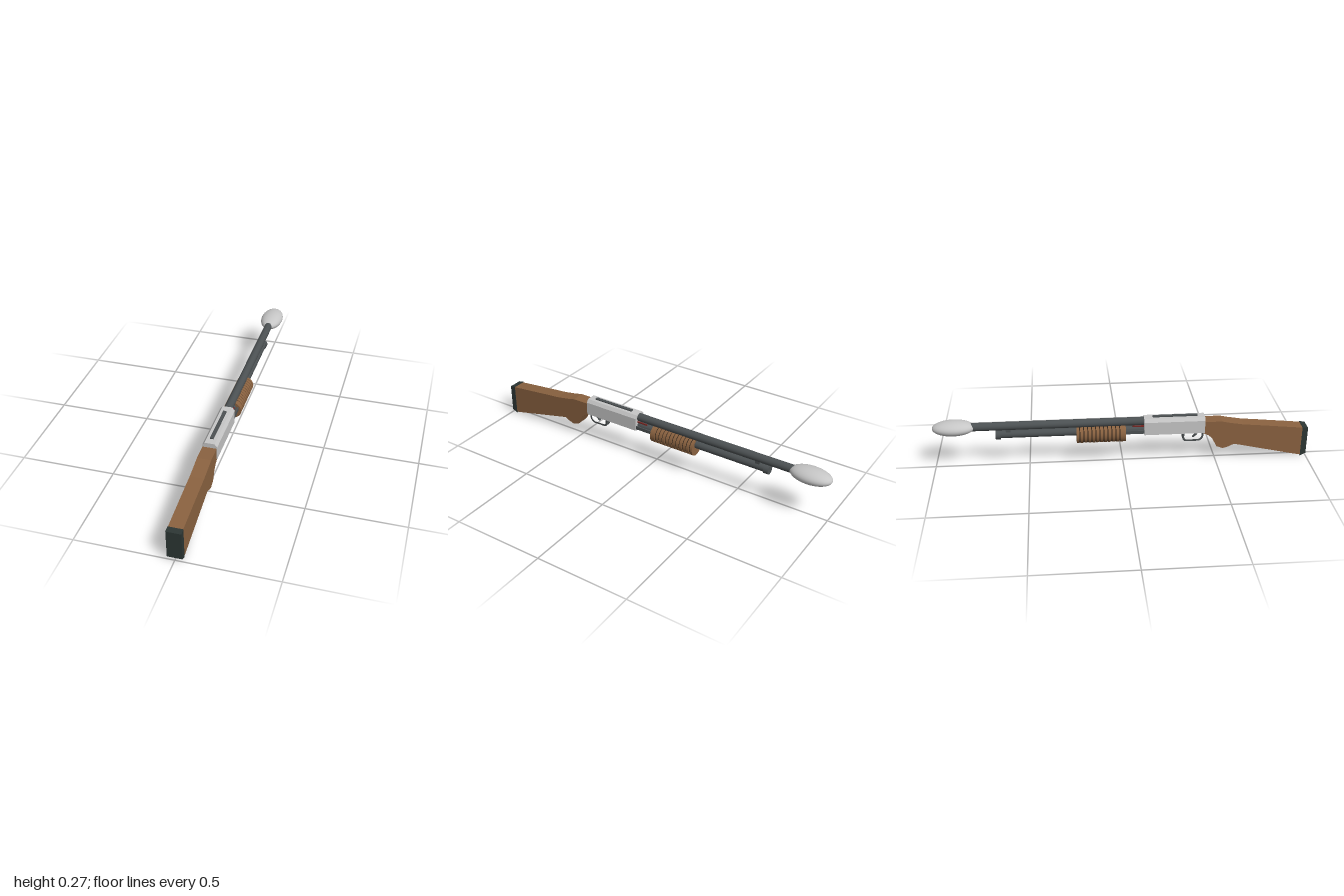
import * as THREE from 'three';

export function createModel() {
  const model = new THREE.Group();
  const mat = (name, color, side = THREE.FrontSide) => {
    const m = new THREE.MeshStandardMaterial({ color, side });
    m.name = name;
    return m;
  };
  const wood = mat('wood', 0x8a6240);
  const groove = mat('groove', 0x2e231a);
  const steel = mat('darkSteel', 0x4c5153);
  const silver = mat('silver', 0xc6c6c6);
  const rubber = mat('rubber', 0x2c3634);
  const red = mat('shellRed', 0x7c2622);

  const add = (name, geometry, material, x = 0, y = 0, z = 0) => {
    const mesh = new THREE.Mesh(geometry, material);
    mesh.name = name;
    mesh.position.set(x, y, z);
    model.add(mesh);
    return mesh;
  };
  // side outline given as [z, y] points, extruded across x
  const sidePlate = (points, width) => {
    const shape = new THREE.Shape(points.map(p => new THREE.Vector2(p[0], p[1])));
    return new THREE.ExtrudeGeometry(shape, { depth: width, bevelEnabled: false })
      .translate(0, 0, -width / 2).rotateY(-Math.PI / 2);
  };
  // cylinder along z between two stations
  const rod = (name, radius, z0, z1, y, material, sides = 24, x = 0) =>
    add(name, new THREE.CylinderGeometry(radius, radius, Math.abs(z1 - z0), sides).rotateX(Math.PI / 2),
      material, x, y, (z0 + z1) / 2);
  const box = (name, w, h, d, material, x, y, z) =>
    add(name, new THREE.BoxGeometry(w, h, d), material, x, y, z);

  // shoulder stock with pistol grip
  add('stock', sidePlate([
    [0.97, 0.17], [0.97, 0.008], [0.955, 0.008], [0.6, 0.088], [0.57, 0.073], [0.54, 0.064],
    [0.505, 0.077], [0.48, 0.125], [0.46, 0.145], [0.425, 0.162], [0.425, 0.226],
    [0.53, 0.225], [0.57, 0.216], [0.645, 0.203], [0.72, 0.196],
  ], 0.072), wood);
  add('buttPad', sidePlate([
    [1, 0.168], [1, 0.015], [0.97, 0], [0.97, 0.173],
  ], 0.075), rubber);

  // receiver: chamfered section swept along z
  const section = new THREE.Shape([
    [-0.039, 0.162], [0.039, 0.162], [0.039, 0.234], [0.026, 0.251], [-0.026, 0.251], [-0.039, 0.234],
  ].map(p => new THREE.Vector2(...p)));
  add('receiver', new THREE.ExtrudeGeometry(section, { depth: 0.325, bevelEnabled: false }), silver, 0, 0, 0.113);
  box('topRail', 0.018, 0.008, 0.24, steel, 0, 0.253, 0.28);

  // loading port under the receiver with a shell showing
  box('loadingPort', 0.05, 0.008, 0.17, steel, 0, 0.161, 0.2);
  box('loadedShell', 0.024, 0.006, 0.13, red, 0, 0.159, 0.2);

  // barrel, magazine tube and their fittings
  rod('barrel', 0.022, 0.12, -0.82, 0.229, steel);
  rod('magazineTube', 0.021, 0.12, -0.65, 0.181, steel);
  rod('magazineCap', 0.025, -0.645, -0.672, 0.179, steel);
  box('barrelBracket', 0.026, 0.035, 0.025, steel, 0, 0.205, -0.605);
  for (const s of [-1, 1]) {
    box('actionBar', 0.008, 0.018, 0.14, steel, s * 0.03, 0.178, 0.06);
    box('redStrip', 0.006, 0.007, 0.065, red, s * 0.018, 0.207, 0.085);
  }

  // ribbed pump grip
  rod('pumpCore', 0.044, 0.012, -0.242, 0.164, groove, 32);
  const ribs = 10, ribStart = -0.015, pitch = 0.0212;
  rod('pumpRearCollar', 0.0475, 0.015, ribStart, 0.164, wood, 32);
  for (let i = 0; i < ribs; i++) {
    const z = ribStart - 0.005 - i * pitch;
    rod('pumpRib', 0.0475, z, z - 0.0162, 0.164, wood, 32);
  }
  rod('pumpFrontCollar', 0.0475, ribStart - 0.005 - ribs * pitch, -0.246, 0.164, wood, 32);

  // trigger guard: thin flat loop
  const guard = new THREE.Shape();
  guard.moveTo(0.436, 0.165);
  guard.lineTo(0.434, 0.128);
  guard.quadraticCurveTo(0.425, 0.104, 0.405, 0.104);
  guard.lineTo(0.345, 0.104);
  guard.quadraticCurveTo(0.321, 0.104, 0.321, 0.128);
  guard.lineTo(0.321, 0.165);
  const hole = new THREE.Path();
  hole.moveTo(0.424, 0.157);
  hole.lineTo(0.424, 0.132);
  hole.quadraticCurveTo(0.418, 0.114, 0.402, 0.114);
  hole.lineTo(0.348, 0.114);
  hole.quadraticCurveTo(0.331, 0.114, 0.331, 0.13);
  hole.lineTo(0.331, 0.157);
  guard.holes.push(hole);
  add('triggerGuard', new THREE.ExtrudeGeometry(guard, { depth: 0.03, bevelEnabled: false, curveSegments: 6 })
    .translate(0, 0, -0.015).rotateY(-Math.PI / 2), steel);
  add('trigger', sidePlate([
    [0.4, 0.163], [0.392, 0.14], [0.376, 0.124], [0.381, 0.121], [0.4, 0.136], [0.412, 0.163],
  ], 0.012), steel);

  // pale ellipsoid at the muzzle
  add('muzzleBulb', new THREE.SphereGeometry(1, 32, 20).rotateX(Math.PI / 2).scale(0.063, 0.039, 0.111),
    silver, 0, 0.229, -0.889);

  return model;
}
